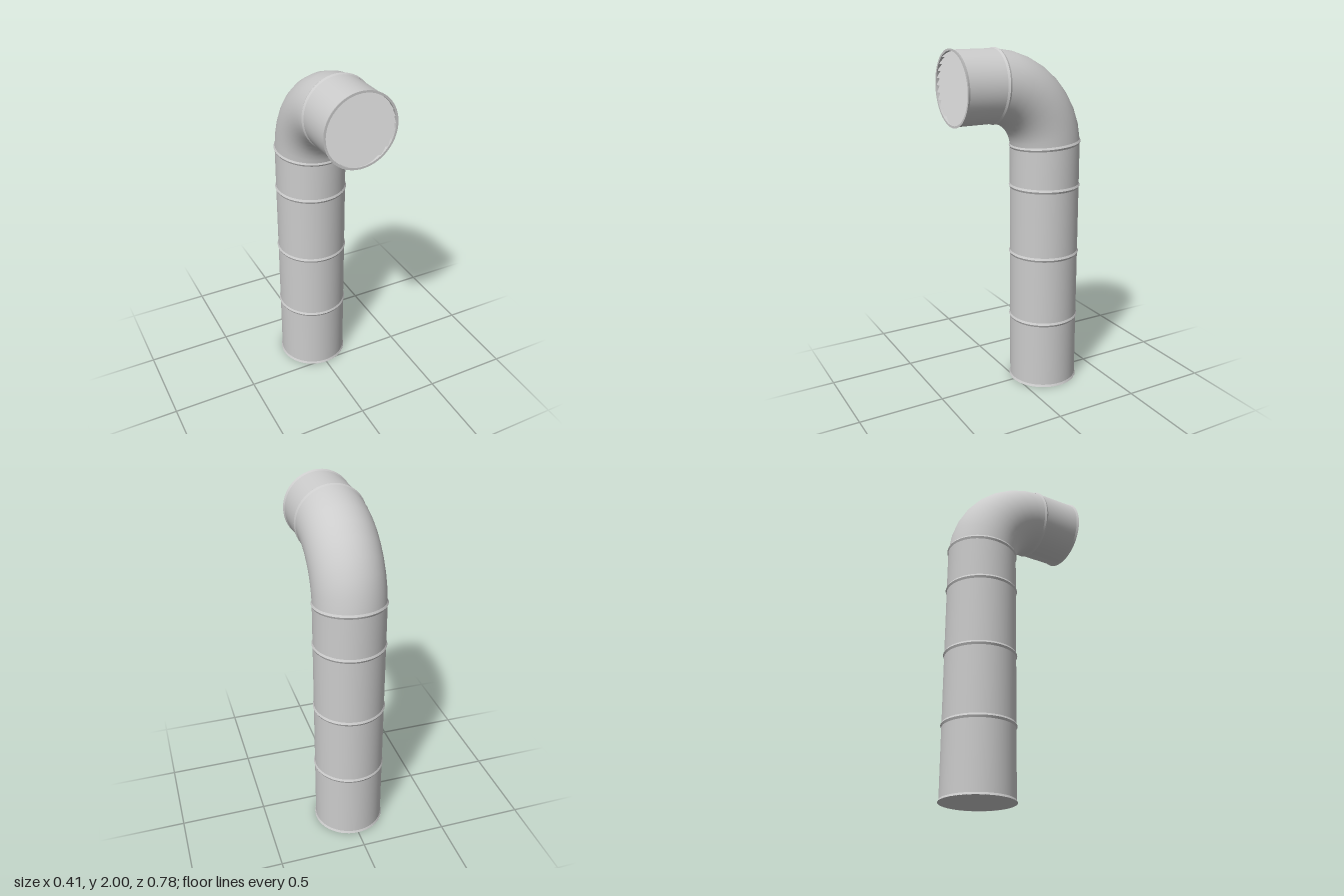
import * as THREE from 'three';
import { toCreasedNormals } from 'three/addons/utils/BufferGeometryUtils.js';

const R = 0.2, RIM = 0.206, SIDES = 48;
const AXIS_Z = -0.186, AXIS_Y = 1.794, FRONT = 0.39;
const BEND = { y: 1.432, z: 0.176, r: 0.363, tilt: 0.075 };

const material = new THREE.MeshStandardMaterial({ color: 0xcccccc, side: THREE.DoubleSide });

// Skin through rings { y, z, phi, r }; phi leans the ring's axis from +y towards +z
function sweep(rings) {
  const pos = [], index = [], row = SIDES + 1;
  rings.forEach(({ y, z, phi, r }, i) => {
    for (let j = 0; j <= SIDES; j++) {
      const t = (j / SIDES) * Math.PI * 2, v = r * Math.sin(t);
      pos.push(r * Math.cos(t), y - v * Math.sin(phi), z + v * Math.cos(phi));
      if (i && j < SIDES) {
        const a = (i - 1) * row + j, c = a + row;
        index.push(a, c, a + 1, a + 1, c, c + 1);
      }
    }
  });
  const g = new THREE.BufferGeometry();
  g.setAttribute('position', new THREE.Float32BufferAttribute(pos, 3));
  g.setIndex(index);
  return toCreasedNormals(g, 0.4);
}

// Ring moved a distance d along its own axis, with a new radius
const shift = (ring, d, r = R) => ({
  y: ring.y + d * Math.cos(ring.phi), z: ring.z + d * Math.sin(ring.phi), phi: ring.phi, r,
});

const upright = (y, r = R) => ({ y, z: AXIS_Z, phi: 0, r });
const forward = (z, r = R) => ({ y: AXIS_Y, z, phi: Math.PI / 2, r });
const onBend = (phi) => ({
  y: BEND.y + BEND.r * Math.sin(phi), z: BEND.z - BEND.r * Math.cos(phi), phi, r: R,
});

export function createModel() {
  const model = new THREE.Group();
  model.name = 'ventPipe';
  const add = (name, geometry, parent = model) => {
    const mesh = new THREE.Mesh(geometry, material);
    mesh.name = name;
    parent.add(mesh);
    return mesh;
  };

  const bendStart = onBend(BEND.tilt), bendEnd = onBend(Math.PI / 2 - BEND.tilt);

  // Upright duct with a flared foot
  add('uprightDuct', sweep([upright(0, RIM), upright(0.013), upright(1.3), bendStart]));
  const base = add('baseCap', new THREE.CircleGeometry(RIM, SIDES));
  base.rotation.x = Math.PI / 2;
  base.position.set(0, 0.001, AXIS_Z);

  // Elbow
  const bend = [];
  for (let i = 0; i <= 8; i++) {
    bend.push(onBend(THREE.MathUtils.lerp(bendStart.phi, bendEnd.phi, i / 8)));
  }
  add('elbow', sweep(bend));

  // Outlet with flared lip, rolled inwards to the grille
  add('outlet', sweep([
    bendEnd, forward(FRONT - 0.013), forward(FRONT, RIM), forward(FRONT, 0.194), forward(FRONT - 0.025, 0.194),
  ]));

  // Raised seams
  const seams = [upright(0.405), upright(0.81), upright(1.213), bendStart, bendEnd];
  seams.forEach((s) => add('seam', sweep([shift(s, -0.012), shift(s, 0, RIM), shift(s, 0.012)])));

  // Louvred grille: slanted slats cut to the round opening
  const grille = new THREE.Group();
  grille.name = 'grille';
  grille.position.set(0, AXIS_Y, FRONT);
  model.add(grille);
  const back = add('grilleBack', new THREE.CircleGeometry(0.194, SIDES), grille);
  back.position.z = -0.025;

  const count = 10, radius = 0.193, pitch = (2 * radius) / count, steps = 6;
  for (let i = 0; i < count; i++) {
    const slat = new THREE.PlaneGeometry(2, pitch * 0.94, 1, steps);
    const p = slat.attributes.position;
    for (let k = 0; k < p.count; k++) {
      const local = p.getY(k), y = local + (i + 0.5) * pitch - radius;
      const half = Math.sqrt(Math.max(0, radius * radius - y * y));
      p.setXYZ(k, p.getX(k) * half, y, -0.012 - local * 0.5);
    }
    slat.computeVertexNormals();
    add('slat', slat, grille);
  }
  return model;
}
